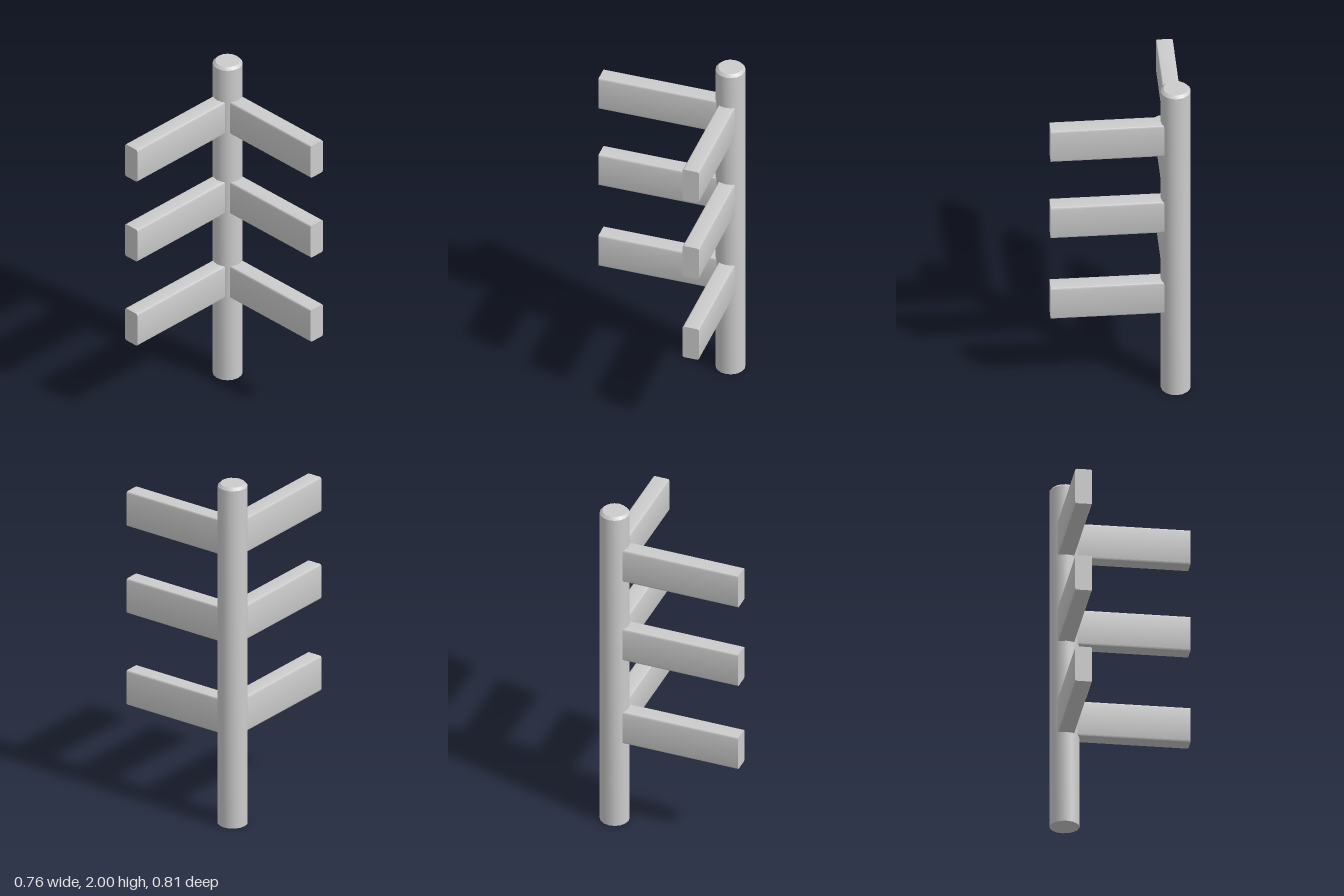
import * as THREE from 'three';
import { toCreasedNormals } from 'three/addons/utils/BufferGeometryUtils.js';

const POST_X = -0.298, POST_Z = -0.326, POST_R = 0.081;

// Slightly rounded rectangle, extruded along +z
function railGeometry(width, height, length, r) {
  const x = width / 2, y = height / 2;
  const s = new THREE.Shape();
  s.moveTo(-x + r, -y);
  s.lineTo(x - r, -y);
  s.quadraticCurveTo(x, -y, x, -y + r);
  s.lineTo(x, y - r);
  s.quadraticCurveTo(x, y, x - r, y);
  s.lineTo(-x + r, y);
  s.quadraticCurveTo(-x, y, -x, y - r);
  s.lineTo(-x, -y + r);
  s.quadraticCurveTo(-x, -y, -x + r, -y);
  const geo = new THREE.ExtrudeGeometry(s, { depth: length, bevelEnabled: false, curveSegments: 3 });
  return toCreasedNormals(geo, 0.7);
}

export function createModel() {
  const group = new THREE.Group();
  const grey = new THREE.MeshStandardMaterial({ color: 0xcccccc });
  grey.name = 'plain grey';

  // Round post with a chamfered top
  const profile = [[0, 0], [POST_R, 0], [POST_R, 1.985], [0.066, 2], [0, 2]]
    .map(([x, y]) => new THREE.Vector2(x, y));
  const post = new THREE.Mesh(toCreasedNormals(new THREE.LatheGeometry(profile, 16), 0.6), grey);
  post.name = 'cornerPost';
  post.position.set(POST_X, 0, POST_Z);
  group.add(post);

  // Three pairs of rails meeting at the post at a right angle
  const inset = 0.06;
  const sideRail = railGeometry(0.092, 0.204, 0.379 - POST_X - inset, 0.01);
  const frontRail = railGeometry(0.092, 0.204, 0.406 - POST_Z - inset, 0.01);
  [0.628, 1.168, 1.68].forEach((y, i) => {
    const a = new THREE.Mesh(sideRail, grey);
    a.name = `leftRail${i + 1}`;
    a.rotation.y = Math.PI / 2;
    a.position.set(POST_X + inset, y, POST_Z);
    const b = new THREE.Mesh(frontRail, grey);
    b.name = `frontRail${i + 1}`;
    b.position.set(POST_X, y, POST_Z + inset);
    group.add(a, b);
  });
  return group;
}
